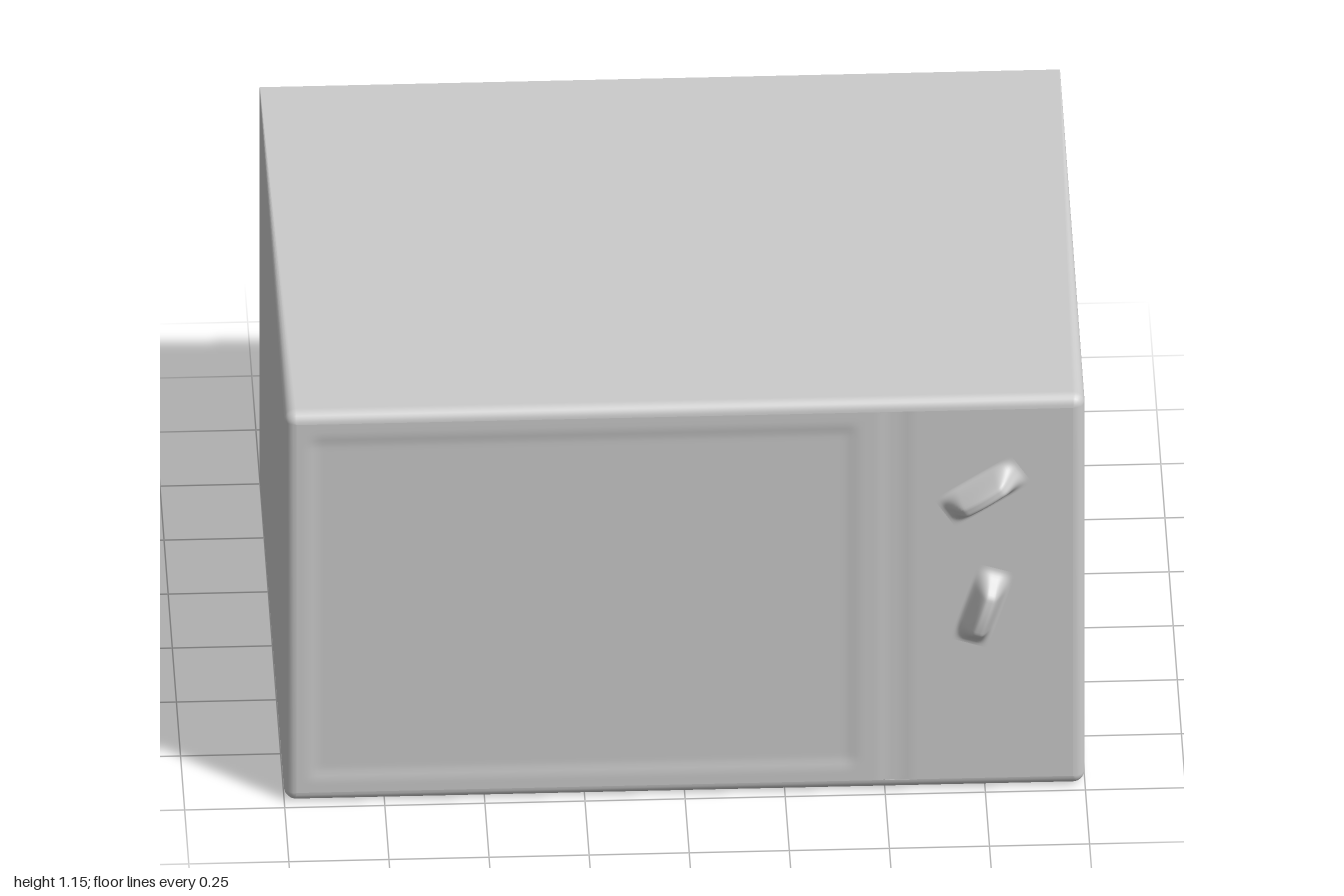
import * as THREE from 'three';

const W = 1, H = 1.15, FRONT = 0.73, BACK = -0.79, R = 0.03;
const grey = new THREE.MeshStandardMaterial({ color: 0xcccccc });
const step = THREE.MathUtils.smoothstep;

function addMesh(parent, name, geometry) {
  const mesh = new THREE.Mesh(geometry, grey);
  mesh.name = name;
  parent.add(mesh);
  return mesh;
}

// Plane facing +z whose vertices are raised by a height rule
function relief(w, h, nx, ny, height) {
  const g = new THREE.PlaneGeometry(w, h, nx, ny);
  const p = g.attributes.position;
  for (let i = 0; i < p.count; i++) p.setZ(i, height(p.getX(i), p.getY(i)));
  g.computeVertexNormals();
  return g;
}

// Sleeve of rounded rectangles: sharp corners at the back, soft fillet at the front
function shellGeometry() {
  const seg = 6, rings = [{ z: BACK, inset: 0, r: 0.002 }];
  for (let i = 0; i <= seg; i++) {
    const a = (i / seg) * Math.PI / 2;
    const inset = R * (1 - Math.cos(a));
    rings.push({ z: FRONT - R + R * Math.sin(a), inset, r: R - inset });
  }
  const pos = [], index = [], n = 4 * (seg + 1);
  for (const { z, inset, r } of rings) {
    for (let c = 0; c < 4; c++) {
      const sx = c === 0 || c === 3 ? 1 : -1, sy = c < 2 ? 1 : -1;
      for (let k = 0; k <= seg; k++) {
        const a = (c + k / seg) * Math.PI / 2;
        pos.push(sx * (W - inset - r) + r * Math.cos(a),
          H / 2 + sy * (H / 2 - inset - r) + r * Math.sin(a), z);
      }
    }
  }
  for (let i = 0; i < rings.length - 1; i++) {
    for (let j = 0; j < n; j++) {
      const a = i * n + j, b = i * n + (j + 1) % n;
      index.push(a, b, b + n, a, b + n, a + n);
    }
  }
  const g = new THREE.BufferGeometry();
  g.setAttribute('position', new THREE.Float32BufferAttribute(pos, 3));
  g.setIndex(index);
  g.computeVertexNormals();
  return g;
}

// Shallow window recess plus a faint seam beside the control panel
function frontHeight(x, y) {
  const band = (v, lo, hi, s) => step(v, lo, lo + s) * (1 - step(v, hi - s, hi));
  const recess = band(x, -0.95, 0.44, 0.04) * band(y + H / 2, 0.06, 1.09, 0.04);
  return -0.005 * recess - 0.003 * band(x, 0.48, 0.57, 0.03);
}

// Narrow grip with a domed side profile and a flared foot
function knobHeight(x, y) {
  const u = Math.min(1, Math.abs(x) / 0.115), v = Math.abs(y) / 0.05;
  const dome = Math.sqrt(1 - 0.75 * u * u) * (1 - step(u, 0.45, 1));
  return 0.061 * dome * (1 - step(v, 0.15, 0.95));
}

export function createModel() {
  const model = new THREE.Group();
  model.name = 'microwaveOven';

  addMesh(model, 'casing', shellGeometry());

  const back = addMesh(model, 'backPanel', new THREE.PlaneGeometry(2 * W, H));
  back.rotation.y = Math.PI;
  back.position.set(0, H / 2, BACK);

  const front = addMesh(model, 'doorAndControlPanel',
    relief(2 * (W - R), H - 2 * R, 150, 90, frontHeight));
  front.position.set(0, H / 2, FRONT);

  // Two turned knobs on the control panel
  const knobs = [['upperKnob', 0.88, 33], ['lowerKnob', 0.54, 72]];
  for (const [name, y, degrees] of knobs) {
    const knob = addMesh(model, name, relief(0.23, 0.1, 40, 24, knobHeight));
    knob.position.set(0.745, y, FRONT + 0.0005);
    knob.rotation.z = THREE.MathUtils.degToRad(degrees);
  }
  return model;
}
